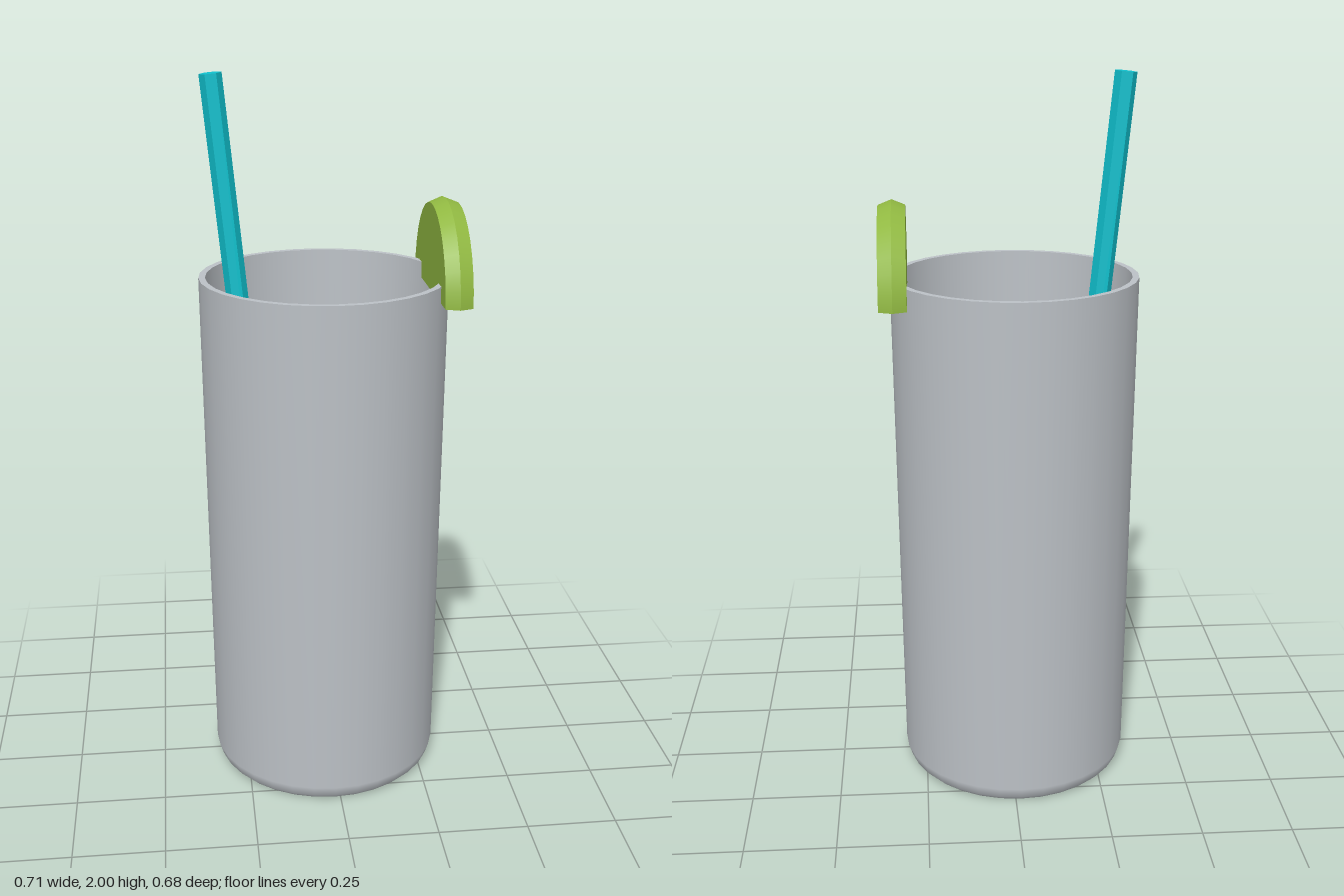
import * as THREE from 'three';
import { RoundedBoxGeometry } from 'three/addons/geometries/RoundedBoxGeometry.js';

const glassMat = new THREE.MeshStandardMaterial({ color: 0xbcc1c6 });
glassMat.name = 'glass grey';
const iceMat = new THREE.MeshStandardMaterial({ color: 0xcbd1d4 });
iceMat.name = 'ice grey';
const drinkMat = new THREE.MeshStandardMaterial({ color: 0xcc5698 });
drinkMat.name = 'drink pink';
const limeMat = new THREE.MeshStandardMaterial({ color: 0x92ba42 });
limeMat.name = 'lime green';
const strawMat = new THREE.MeshStandardMaterial({ color: 0x10c0cd });
strawMat.name = 'straw turquoise';

const CENTRE_X = -0.015;

function mesh(name, geometry, material) {
  const m = new THREE.Mesh(geometry, material);
  m.name = name;
  return m;
}

// Revolves each profile band separately so the edges between bands stay sharp
function turned(name, bands, material, segments, start = 0, sweep = Math.PI * 2) {
  const group = new THREE.Group();
  group.name = name;
  bands.forEach((band, i) => {
    const points = band.map(([r, y]) => new THREE.Vector2(r, y));
    group.add(mesh(`${name}Band${i + 1}`, new THREE.LatheGeometry(points, segments, start, sweep), material));
  });
  return group;
}

function iceCube(name, size, position, rotation) {
  const cube = mesh(name, new RoundedBoxGeometry(size, size, size, 1, 0.022), iceMat);
  cube.position.set(...position);
  cube.rotation.set(...rotation, 'YXZ');
  return cube;
}

export function createModel() {
  const model = new THREE.Group();
  model.name = 'drink';

  // Tall tapered tumbler: underside, outer wall, rim, inner wall, floor
  const glass = turned('glass', [
    [[0, 0], [0.3, 0]],
    [[0.3, 0], [0.315, 0.015], [0.325, 0.045], [0.34, 1.46]],
    [[0.34, 1.46], [0.322, 1.46]],
    [[0.322, 1.46], [0.302, 0.06]],
    [[0.302, 0.06], [0, 0.06]],
  ], glassMat, 32);
  glass.position.x = CENTRE_X;

  // Drink filling the tumbler
  const drink = turned('drinkFill', [
    [[0, 0.07], [0.3, 0.07]],
    [[0.3, 0.07], [0.318, 1.22]],
    [[0.318, 1.22], [0, 1.22]],
  ], drinkMat, 32);
  drink.position.x = CENTRE_X;

  // Floating ice
  const upperIce = iceCube('upperIceCube', 0.2, [0.035, 1.192, -0.008], [0, 0.74, 0]);
  upperIce.rotateOnWorldAxis(new THREE.Vector3(0, 0, 1), 0.07);
  const lowerIce = iceCube('lowerIceCube', 0.2, [-0.085, 1.14, 0.05], [0.28, -0.06, 0]);

  // Hexagonal leaning straw with flat sides
  const strawLength = 1.9;
  const tilt = 0.096;
  const strawGeo = new THREE.CylinderGeometry(0.03, 0.03, strawLength, 6)
    .rotateY(Math.PI / 6).translate(0, -strawLength / 2, 0).toNonIndexed();
  strawGeo.computeVertexNormals();
  const straw = mesh('straw', strawGeo, strawMat);
  straw.position.set(-0.308, 1.997, 0);
  straw.rotation.z = tilt;

  // Half lime slice with a ridged rind, axis along x
  const half = 0.037;
  const face = 0.235;
  const ridge = 0.25;
  const lime = new THREE.Group();
  lime.name = 'limeSlice';
  const slice = turned('limeHalfDisc', [
    [[0, -half], [face, -half]],
    [[face, -half], [ridge, 0]],
    [[ridge, 0], [face, half]],
    [[face, half], [0, half]],
  ], limeMat, 16, Math.PI, Math.PI);
  slice.rotation.z = -Math.PI / 2;
  const cut = new THREE.Shape([
    [-half, -face], [0, -ridge], [half, -face], [half, face], [0, ridge], [-half, face],
  ].map(([x, y]) => new THREE.Vector2(x, y)));
  lime.add(slice, mesh('limeCutFace', new THREE.ShapeGeometry(cut).rotateX(Math.PI / 2), limeMat));
  lime.position.set(0.315, 1.415, 0);

  model.add(glass, drink, upperIce, lowerIce, straw, lime);
  return model;
}
